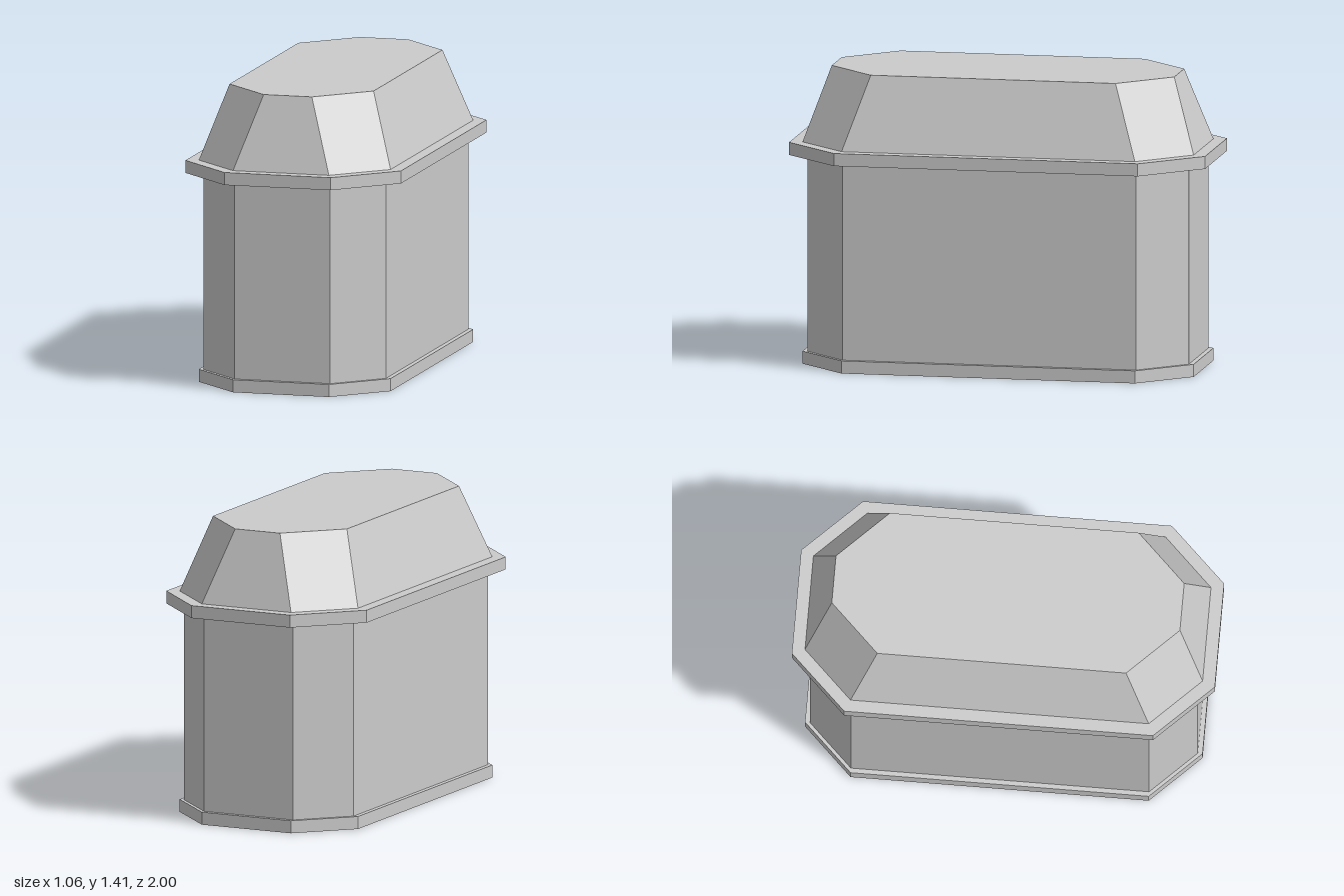
import * as THREE from 'three';

const material = new THREE.MeshStandardMaterial({
  color: 0xcccccc, flatShading: true, side: THREE.DoubleSide,
});

// Octagonal cross-section: half sizes x and z, with corners cut at cx and cz
function ring(y, x, z, cx, cz) {
  return [
    [-cx, z], [cx, z], [x, cz], [x, -cz],
    [cx, -z], [-cx, -z], [-x, -cz], [-x, cz],
  ].map(([px, pz]) => [px, y, pz]);
}

// Skin consecutive cross-sections, listed from the bottom up
function skin(name, rings, capTop = false) {
  const pos = [];
  const tri = (a, b, c) => pos.push(...a, ...b, ...c);
  for (let r = 0; r < rings.length - 1; r++) {
    const lo = rings[r], hi = rings[r + 1];
    for (let i = 0; i < lo.length; i++) {
      const j = (i + 1) % lo.length;
      tri(lo[i], lo[j], hi[j]);
      tri(lo[i], hi[j], hi[i]);
    }
  }
  if (capTop) {
    const top = rings[rings.length - 1];
    for (let i = 1; i < top.length - 1; i++) tri(top[0], top[i], top[i + 1]);
  }
  const geometry = new THREE.BufferGeometry();
  geometry.setAttribute('position', new THREE.Float32BufferAttribute(pos, 3));
  geometry.computeVertexNormals();
  const mesh = new THREE.Mesh(geometry, material);
  mesh.name = name;
  return mesh;
}

export function createModel() {
  const group = new THREE.Group();
  group.name = 'octagonalBin';

  const base = (y) => ring(y, 0.47, 0.94, 0.235, 0.705);
  const wall = (y) => ring(y, 0.447, 0.917, 0.235, 0.705);
  const rim = (y) => ring(y, 0.528, 1, 0.26, 0.73);

  group.add(
    // Open foot band with a narrow ledge up to the wall
    skin('footBand', [base(0), base(0.06), wall(0.06)]),
    // Straight hollow wall
    skin('body', [wall(0.06), wall(1)]),
    // Overhanging rim
    skin('rim', [wall(1), rim(1), rim(1.06), base(1.06)]),
    // Tapered top with a flat cap
    skin('roof', [base(1.06), ring(1.41, 0.353, 0.823, 0.118, 0.588)], true),
  );
  return group;
}
